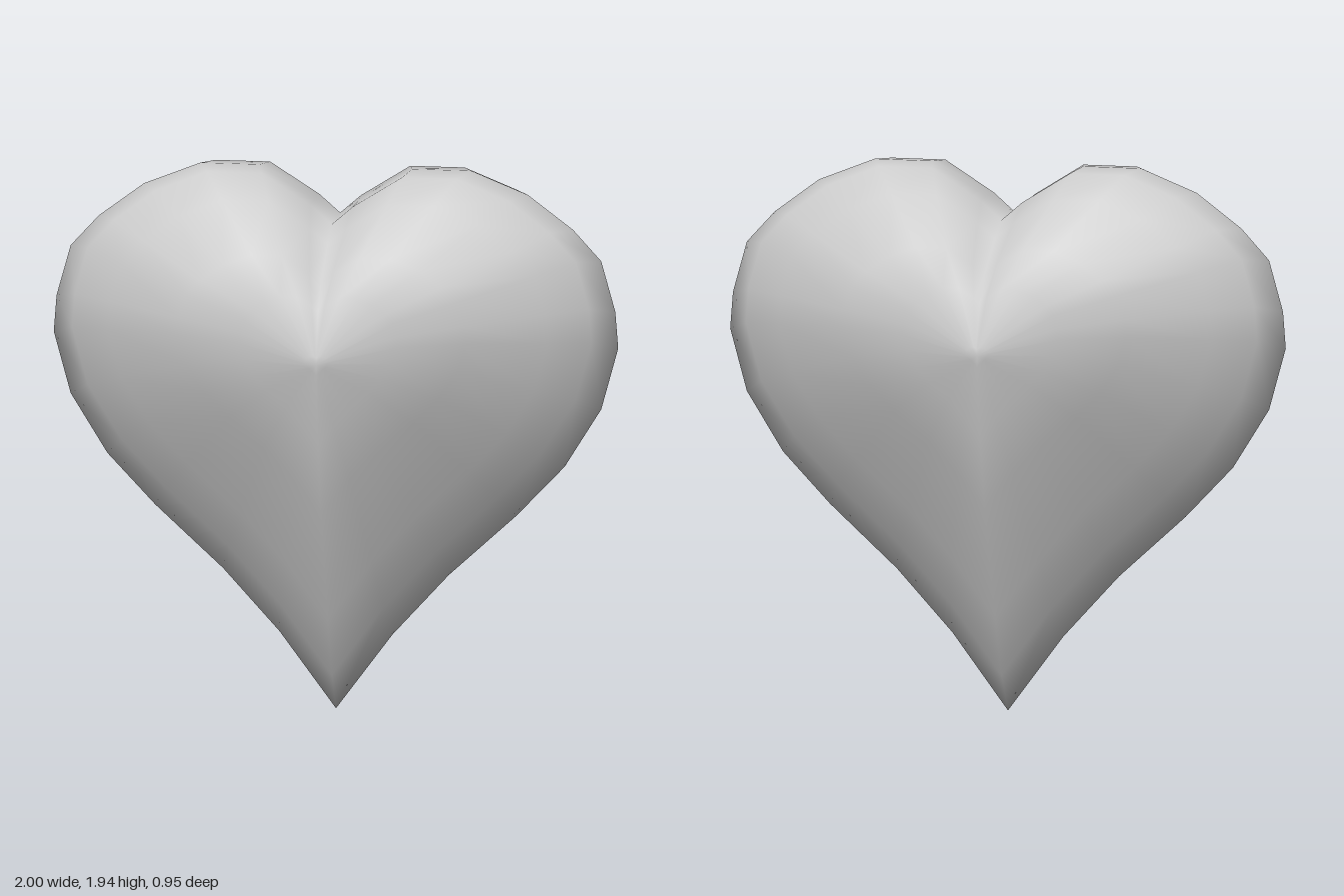
import * as THREE from 'three';

// Right half of the heart outline, from the notch round to the tip
const HALF = [
  [0, 1.75], [0.08, 1.82], [0.27, 1.94], [0.48, 1.94], [0.68, 1.86],
  [0.84, 1.74], [0.94, 1.63], [0.99, 1.45], [1, 1.32], [0.94, 1.1],
  [0.81, 0.89], [0.64, 0.71], [0.4, 0.49], [0.2, 0.27], [0, 0],
];

// Cross-sections of the front half: depth, bottom, top, half width
const SECTIONS = [
  [0, 0, 1.94, 1], [0.1, 0.14, 1.93, 0.92], [0.2, 0.36, 1.85, 0.78],
  [0.36, 0.77, 1.69, 0.51], [0.43, 1.03, 1.56, 0.28], [0.475, 1.29, 1.36, 0.04],
];

function heartGeometry() {
  // Closed outline, clockwise seen from the front
  const outline = [...HALF, ...HALF.slice(1, -1).reverse().map(([x, y]) => [-x, y])];
  const n = outline.length;

  // Mirror the sections so they run from back to front
  const back = SECTIONS.slice(1).reverse().map(([z, ...rest]) => [-z, ...rest]);
  const rings = [...back, ...SECTIONS];

  const pos = [], index = [];
  for (const [z, bottom, top, width] of rings) {
    for (const [x, y] of outline) {
      pos.push(x * width, bottom + (y / 1.94) * (top - bottom), z);
    }
  }

  // Skin between neighbouring rings
  for (let r = 0; r < rings.length - 1; r++) {
    for (let i = 0; i < n; i++) {
      const a = r * n + i, b = r * n + (i + 1) % n;
      index.push(a, a + n, b, b, a + n, b + n);
    }
  }

  // Small fans close the back and front
  const backCentre = rings.length * n, last = (rings.length - 1) * n;
  pos.push(0, 1.33, -0.475, 0, 1.33, 0.475);
  for (let i = 0; i < n; i++) {
    const j = (i + 1) % n;
    index.push(backCentre, i, j, backCentre + 1, last + j, last + i);
  }

  const geo = new THREE.BufferGeometry();
  geo.setAttribute('position', new THREE.Float32BufferAttribute(pos, 3));
  geo.setIndex(index);
  geo.computeVertexNormals();
  return geo;
}

export function createModel() {
  const group = new THREE.Group();
  group.name = 'heart';
  const body = new THREE.Mesh(heartGeometry(), new THREE.MeshStandardMaterial({ color: 0xcccccc }));
  body.name = 'heartBody';
  group.add(body);
  return group;
}
